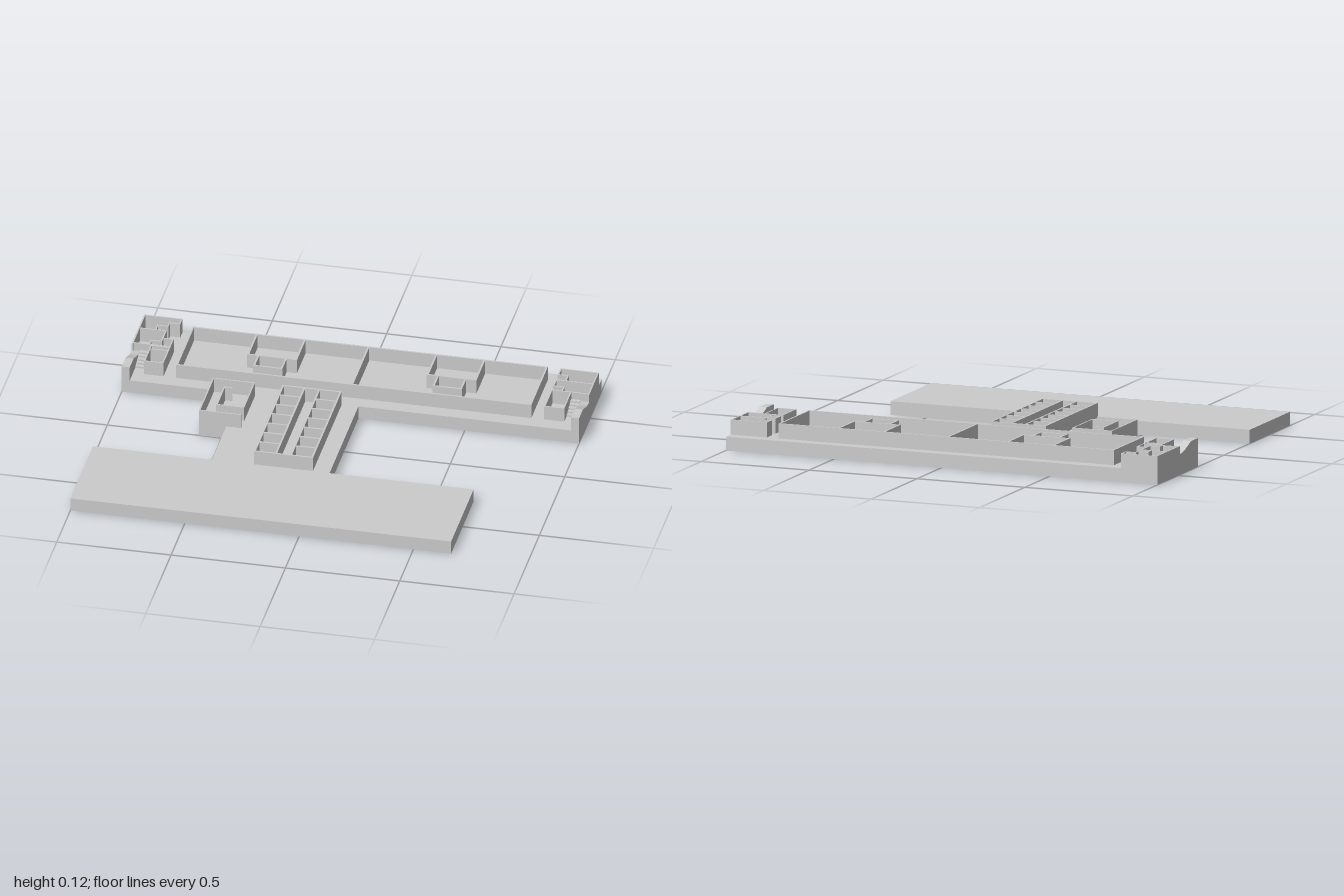
import * as THREE from 'three';

const FLOOR = 0.06, TOP = 0.125;

export function createModel() {
  const model = new THREE.Group();
  const grey = new THREE.MeshStandardMaterial({ color: 0xcccccc, flatShading: true });
  const sheet = new THREE.MeshStandardMaterial({ color: 0xcccccc, flatShading: true, side: THREE.DoubleSide });

  function add(parent, name, geometry, material = grey) {
    const mesh = new THREE.Mesh(geometry, material);
    mesh.name = name;
    parent.add(mesh);
    return mesh;
  }

  // Solid block between two corners
  function block(parent, name, x0, x1, y0, y1, z0, z1) {
    add(parent, name, new THREE.BoxGeometry(x1 - x0, y1 - y0, z1 - z0))
      .position.set((x0 + x1) / 2, (y0 + y1) / 2, (z0 + z1) / 2);
  }

  // Standing walls that follow [x, z] points
  function walls(name, paths, t = 0.008) {
    const group = new THREE.Group();
    group.name = name;
    for (const path of paths) {
      for (let i = 1; i < path.length; i++) {
        const [ax, az] = path[i - 1], [bx, bz] = path[i];
        block(group, 'wall', Math.min(ax, bx) - t / 2, Math.max(ax, bx) + t / 2, FLOOR, TOP,
          Math.min(az, bz) - t / 2, Math.max(az, bz) + t / 2);
      }
    }
    model.add(group);
  }

  const rect = (x0, x1, z0, z1) => [[x0, z0], [x1, z0], [x1, z1], [x0, z1], [x0, z0]];

  // Deck with side skirts, open underneath
  function deck(name, pts) {
    const group = new THREE.Group();
    group.name = name;
    const shape = new THREE.Shape(pts.map(([x, z]) => new THREE.Vector2(x, -z)));
    add(group, 'deckTop', new THREE.ShapeGeometry(shape).rotateX(-Math.PI / 2), sheet).position.y = FLOOR;
    pts.forEach(([ax, az], i) => {
      const [bx, bz] = pts[(i + 1) % pts.length];
      const side = add(group, 'skirt', new THREE.PlaneGeometry(Math.hypot(bx - ax, bz - az), FLOOR), sheet);
      side.position.set((ax + bx) / 2, FLOOR / 2, (az + bz) / 2);
      side.rotation.y = -Math.atan2(bz - az, bx - ax);
    });
    model.add(group);
  }

  // Bases: closed rear slab, open front and middle decks
  block(model, 'rearSlab', -1, 1, 0, FLOOR, -0.73, -0.285);
  deck('frontDeck', [[-1, 0.73], [0.665, 0.73], [0.665, 0.285], [-1, 0.285]]);
  deck('middleDeck', [[-0.48, 0.285], [0.035, 0.285], [0.035, -0.285],
    [-0.6, -0.285], [-0.6, 0], [-0.48, 0]]);

  // Long hall with a dividing wall and two stepped rooms
  const hall = [rect(-0.773, 0.773, -0.673, -0.353), [[-0.007, -0.673], [-0.007, -0.353]]];
  for (const x of [-0.39, 0.395]) {
    hall.push([[x - 0.105, -0.673], [x - 0.105, -0.503], [x + 0.105, -0.503], [x + 0.105, -0.673]]);
    hall.push([[x - 0.06, -0.503], [x - 0.06, -0.417], [x + 0.06, -0.417], [x + 0.06, -0.503]]);
  }
  walls('hallWalls', hall);

  // Two rows of seven cells beside a corridor
  const cells = [rect(-0.293, -0.042, -0.281, 0.279),
    [[-0.2, -0.281], [-0.2, 0.279]], [[-0.135, -0.281], [-0.135, 0.279]]];
  for (let i = 1; i < 7; i++) {
    const z = -0.281 + i * 0.08;
    cells.push([[-0.293, z], [-0.2, z]], [[-0.135, z], [-0.042, z]]);
  }
  walls('cellWalls', cells);

  // Winding side room
  walls('sideRoomWalls', [
    [[-0.418, -0.065], [-0.418, -0.275], [-0.597, -0.275], [-0.597, -0.003], [-0.418, -0.003]],
    [[-0.418, -0.065], [-0.535, -0.065], [-0.535, -0.215], [-0.503, -0.215]],
  ], 0.006);

  // Corner rooms at either end of the rear slab
  walls('rightCornerRooms', [
    [[-0.835, -0.685], [-0.835, -0.727], [-0.997, -0.727], [-0.997, -0.485]],
    [[-0.835, -0.685], [-0.88, -0.685], [-0.88, -0.655], [-0.925, -0.655], [-0.925, -0.617]],
    [[-0.997, -0.617], [-0.88, -0.617], [-0.88, -0.555], [-0.835, -0.555], [-0.835, -0.492], [-0.997, -0.492]],
    [[-0.925, -0.492], [-0.925, -0.527], [-0.88, -0.527], [-0.88, -0.555]],
    rect(-0.915, -0.835, -0.485, -0.353), [[-0.915, -0.457], [-0.835, -0.457]],
  ], 0.006);
  walls('leftCornerRooms', [
    [[0.997, -0.485], [0.997, -0.673], [0.835, -0.673], [0.835, -0.623], [0.877, -0.623], [0.877, -0.578]],
    [[0.997, -0.578], [0.835, -0.578], [0.835, -0.527], [0.88, -0.527], [0.88, -0.492]],
    [[0.997, -0.492], [0.835, -0.492], [0.835, -0.353], [0.918, -0.353], [0.918, -0.492]],
  ], 0.006);

  // End parapets with a sloping dip, and the shallow steps beside them
  const profile = new THREE.Shape([[0.285, FLOOR], [0.485, FLOOR], [0.485, 0.09], [0.455, 0.092],
    [0.43, 0.098], [0.36, TOP], [0.285, TOP]].map(([u, y]) => new THREE.Vector2(u, y)));
  for (const s of [-1, 1]) {
    const parapet = add(model, s < 0 ? 'rightParapet' : 'leftParapet',
      new THREE.ExtrudeGeometry(profile, { depth: 0.035, bevelEnabled: false }).rotateY(Math.PI / 2));
    parapet.position.x = s < 0 ? -1 : 0.965;
    for (let i = 0; i < 5; i++) {
      block(model, 'step', s * 0.942 - 0.023, s * 0.942 + 0.023, FLOOR, FLOOR + 0.007 * (i + 1),
        -0.395 - 0.018 * (i + 1), -0.395 - 0.018 * i);
    }
  }
  return model;
}
